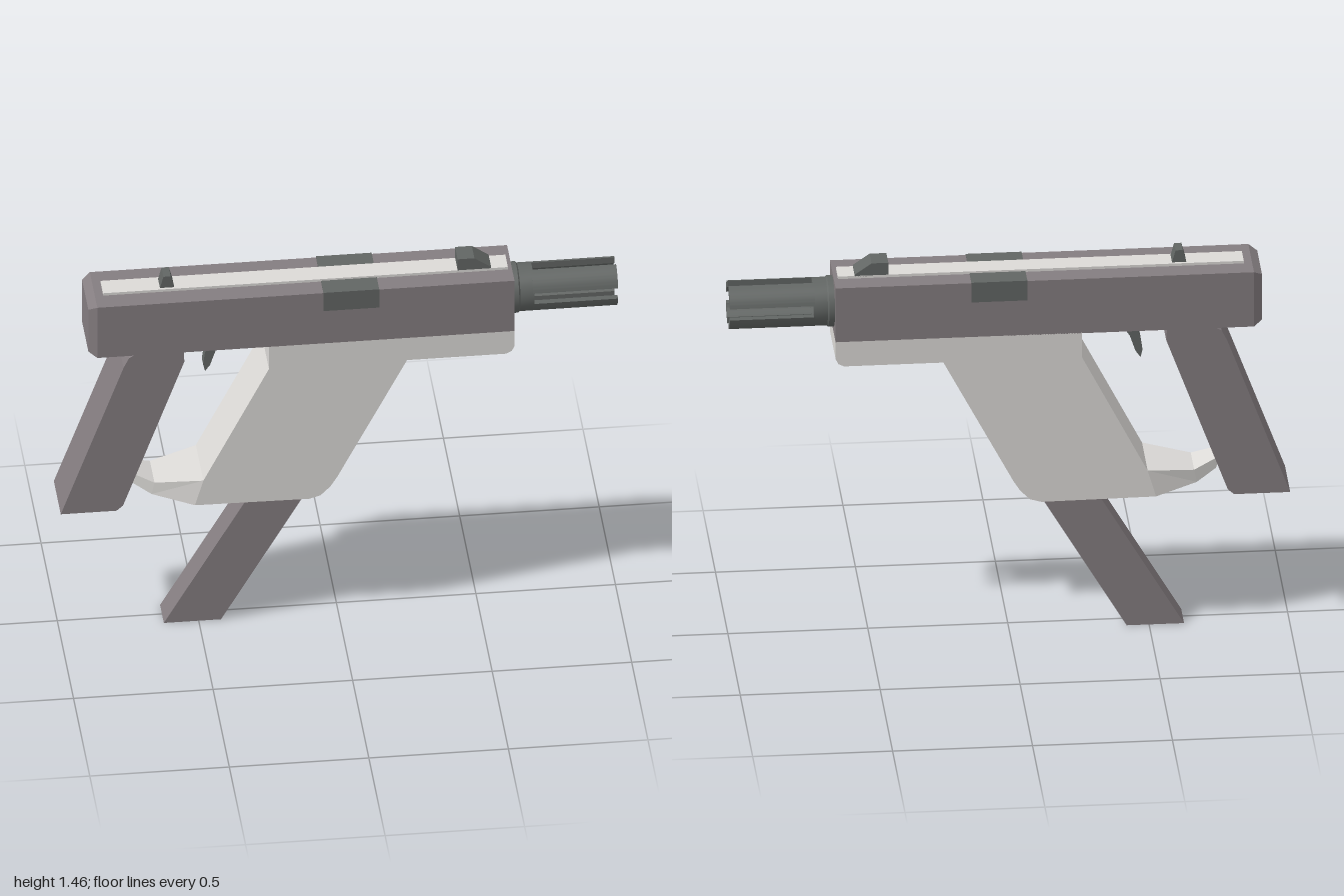
import * as THREE from 'three';
import { toCreasedNormals } from 'three/addons/utils/BufferGeometryUtils.js';

const material = (color) => new THREE.MeshStandardMaterial({ color });

export function createModel() {
  const model = new THREE.Group();
  const body = material(0x847d80);
  const light = material(0xdcdad7);
  const dark = material(0x626664);

  function add(name, geometry, mat) {
    const mesh = new THREE.Mesh(geometry, mat);
    mesh.name = name;
    model.add(mesh);
    return mesh;
  }

  // Side profile in x/y, extruded to a centred thickness in z
  function slab(points, halfWidth) {
    const shape = new THREE.Shape(points.map(([x, y]) => new THREE.Vector2(x, y)));
    const geometry = new THREE.ExtrudeGeometry(shape, { depth: 2 * halfWidth, bevelEnabled: false });
    return geometry.translate(0, 0, -halfWidth);
  }

  function box(x0, x1, y0, y1, halfWidth) {
    return new THREE.BoxGeometry(x1 - x0, y1 - y0, 2 * halfWidth)
      .translate((x0 + x1) / 2, (y0 + y1) / 2, 0);
  }

  // Receiver: a long box whose rear end is chamfered all round
  const receiver = new THREE.BoxGeometry(1.525, 0.215, 0.23, 2, 1, 1).toNonIndexed();
  const pos = receiver.attributes.position;
  for (let i = 0; i < pos.count; i++) {
    const x = pos.getX(i);
    if (Math.abs(x) < 0.01) pos.setX(i, -0.7325);
    else if (x < 0) {
      pos.setY(i, pos.getY(i) - Math.sign(pos.getY(i)) * 0.018);
      pos.setZ(i, pos.getZ(i) - Math.sign(pos.getZ(i)) * 0.018);
    }
  }
  receiver.computeVertexNormals();
  add('receiver', receiver.translate(-0.1375, 1.3025, 0), body);

  add('topStrip', box(-0.84, 0.61, 1.4, 1.42, 0.04), light);
  add('ejectionPort', box(-0.06, 0.14, 1.335, 1.413, 0.118), dark);

  // Sights
  add('rearSight', slab([[-0.637, 1.415], [-0.583, 1.415], [-0.597, 1.467], [-0.623, 1.467]], 0.03), dark);
  add('frontSight', slab([[0.43, 1.415], [0.55, 1.415], [0.55, 1.425], [0.49, 1.467], [0.43, 1.467]], 0.04), dark);

  // Lower housing with sloped magazine well
  add('lowerHousing', slab([
    [-0.255, 1.197], [-0.255, 1.1], [-0.49, 0.64], [-0.52, 0.537], [-0.11, 0.533],
    [-0.07, 0.545], [-0.035, 0.58], [-0.01, 0.62], [0.24, 1.1], [0.595, 1.1],
    [0.615, 1.11], [0.625, 1.13], [0.625, 1.197],
  ], 0.115), light);

  // Hand guard, narrowing toward its tip
  const guard = slab([
    [-0.49, 0.64], [-0.66, 0.615], [-0.755, 0.652], [-0.74, 0.607], [-0.67, 0.565], [-0.52, 0.537],
  ], 0.115).toNonIndexed();
  const gp = guard.attributes.position;
  for (let i = 0; i < gp.count; i++) {
    const t = THREE.MathUtils.clamp((-0.52 - gp.getX(i)) / 0.235, 0, 1);
    gp.setZ(i, gp.getZ(i) * (1 - 0.65 * t));
  }
  guard.computeVertexNormals();
  add('handGuard', guard, light);

  // Magazine and its collar
  add('magazine', slab([[-0.625, 0.003], [-0.42, 0.003], [-0.085, 0.575], [-0.29, 0.575]], 0.058), body);
  add('magazineCollar', slab([[-0.335, 0.52], [-0.11, 0.52], [-0.1, 0.54], [-0.325, 0.54]], 0.066), light);

  // Grip and trigger
  add('grip', slab([
    [-1, 0.53], [-0.8, 0.53], [-0.777, 0.55], [-0.557, 1.15], [-0.56, 1.2],
    [-0.72, 1.2], [-0.755, 1.18], [-0.775, 1.14],
  ], 0.107), body);
  add('trigger', slab([
    [-0.445, 1.2], [-0.39, 1.2], [-0.435, 1.13], [-0.455, 1.07], [-0.473, 1.045],
    [-0.48, 1.075], [-0.473, 1.125],
  ], 0.02), dark);

  // Barrel collar with a recessed bore
  const axisY = 1.306;
  const profile = [[0.092, 0.61], [0.092, 0.645], [0.087, 0.65], [0.087, 0.7], [0.062, 0.7],
    [0.062, 0.665], [0.043, 0.665], [0.043, 0.64], [0, 0.64]];
  const collar = new THREE.LatheGeometry(profile.map(([r, x]) => new THREE.Vector2(r, x)), 32);
  collar.rotateZ(-Math.PI / 2).translate(0, axisY, 0);
  add('barrelCollar', toCreasedNormals(collar, 0.5), dark);

  // Four prongs separated by straight slots
  const outer = 0.087, inner = 0.064, halfGap = 0.022;
  const a = Math.asin(halfGap / outer), b = Math.asin(halfGap / inner);
  const sector = new THREE.Shape();
  sector.absarc(0, 0, outer, a, Math.PI / 2 - a, false);
  sector.absarc(0, 0, inner, Math.PI / 2 - b, b, true);
  for (let i = 0; i < 4; i++) {
    const prong = new THREE.ExtrudeGeometry(sector, { depth: 0.305, bevelEnabled: false, curveSegments: 8 });
    prong.rotateZ(i * Math.PI / 2).rotateY(Math.PI / 2).translate(0.695, axisY, 0);
    add('barrelProng', toCreasedNormals(prong, 0.5), dark);
  }

  return model;
}
